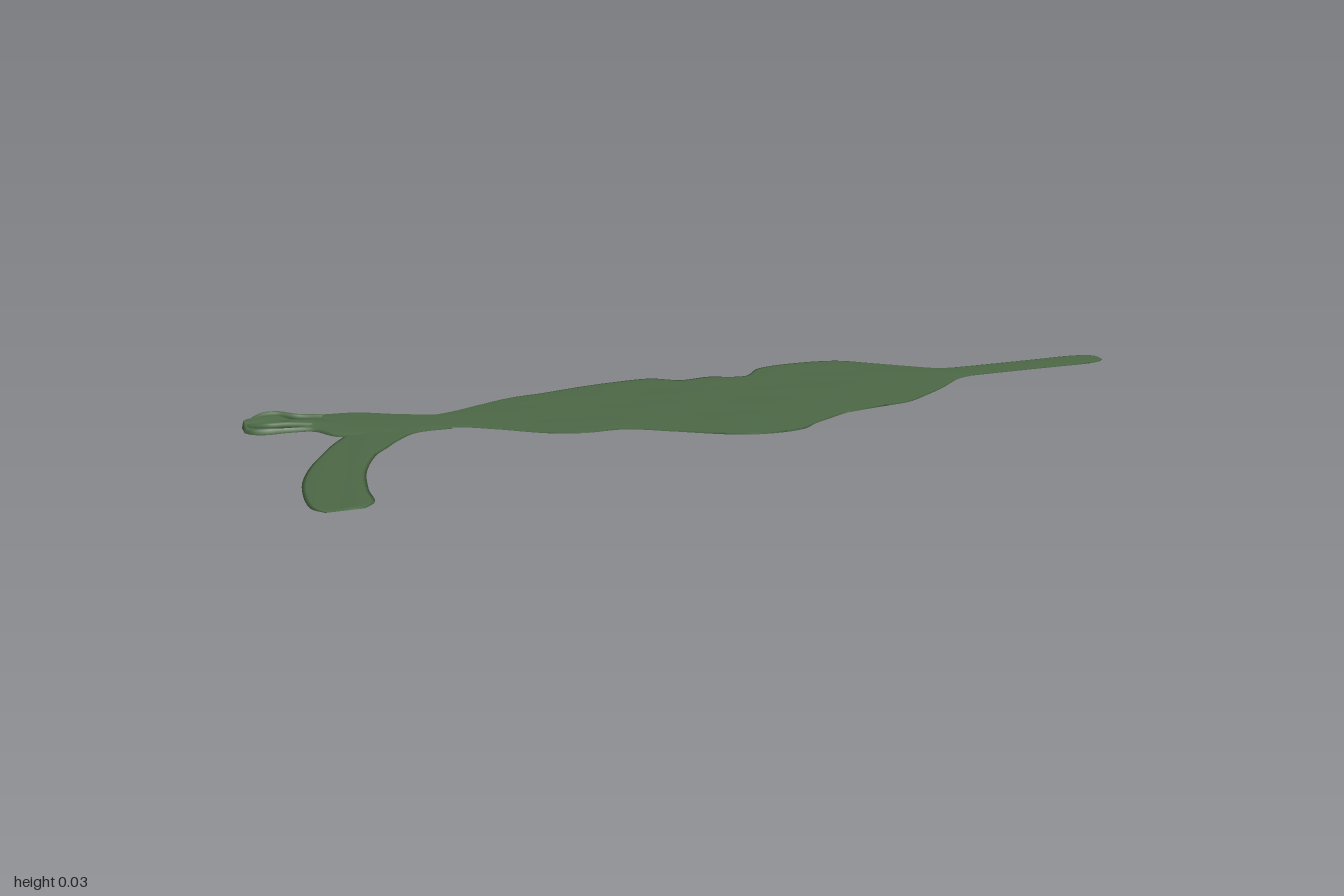
import * as THREE from 'three';

const material = new THREE.MeshStandardMaterial({ color: 0x4c6846, side: THREE.DoubleSide });
const smooth = THREE.MathUtils.smoothstep;

// Thin closed blade. Stations are [xa, za, xb, zb]: matching points on its two edges.
// lift(x, z, bulge) gives the height of the top above the flat edge.
function blade(name, stations, along, across, lift) {
  const edge = (k) => new THREE.CatmullRomCurve3(
    stations.map((s) => new THREE.Vector3(s[k], 0, s[k + 1])));
  const a = edge(0), b = edge(2), p = new THREE.Vector3();
  const pos = [], index = [], ring = across * 2;
  for (let i = 0; i <= along; i++) {
    const t = i / along;
    const pa = a.getPoint(t), pb = b.getPoint(t);
    const taper = Math.sqrt(Math.min(1, t * 25, (1 - t) * 25));
    for (let k = 0; k < ring; k++) {
      const top = k <= across;
      const v = top ? k / across : 2 - k / across;
      p.lerpVectors(pa, pb, v);
      const bulge = taper * Math.pow(4 * v * (1 - v), 0.4);
      const y = 0.004 + (top ? lift(p.x, p.z, bulge) : -0.001 * bulge);
      pos.push(p.x, y, p.z);
    }
  }
  for (let i = 0; i < along; i++) {
    for (let k = 0; k < ring; k++) {
      const k2 = (k + 1) % ring;
      const q = i * ring + k, r = i * ring + k2;
      index.push(q, r, q + ring, r, r + ring, q + ring);
    }
  }
  const geometry = new THREE.BufferGeometry();
  geometry.setAttribute('position', new THREE.Float32BufferAttribute(pos, 3));
  geometry.setIndex(index);
  geometry.computeVertexNormals();
  const mesh = new THREE.Mesh(geometry, material);
  mesh.name = name;
  return mesh;
}

// Rounded crease lying on the crumpled tip
function fold(name, points, radius) {
  const curve = new THREE.CatmullRomCurve3(points.map((p) => new THREE.Vector3(...p)));
  const mesh = new THREE.Mesh(new THREE.TubeGeometry(curve, 28, radius, 8), material);
  mesh.name = name;
  return mesh;
}

export function createModel() {
  const group = new THREE.Group();
  group.name = 'leaf';

  // Broad leaf blade: x, back edge, front edge
  const outline = [
    [-0.63, -0.22, -0.115], [-0.57, -0.23, -0.115], [-0.5, -0.26, -0.075],
    [-0.4, -0.3, -0.005], [-0.33, -0.31, 0.02], [-0.24, -0.33, 0.025],
    [-0.15, -0.342, 0.075], [-0.06, -0.342, 0.13], [0, -0.305, 0.155],
    [0.07, -0.31, 0.162], [0.12, -0.29, 0.152], [0.155, -0.288, 0.125],
    [0.2, -0.335, 0.1], [0.25, -0.35, 0.075], [0.35, -0.35, 0.055],
    [0.41, -0.335, 0.045], [0.47, -0.29, 0.01], [0.54, -0.235, -0.04],
    [0.6, -0.19, -0.09], [0.64, -0.185, -0.105]];
  group.add(blade('leafBlade', outline.map(([x, z0, z1]) => [x, z0, x, z1]), 130, 40,
    (x, z, e) => {
      const veins = Math.sin(26 * z + 9 * x + 2 * Math.sin(5 * x))
        + 0.5 * Math.sin(60 * z - 14 * x);
      // Curved crease around the rounded lobe at the back
      const d = Math.hypot(x - 0.3, z + 0.17) - 0.14;
      const crease = z < -0.12 ? Math.exp(-d * d * 2500) : 0;
      return e * (0.003 + 0.0007 * veins + 0.0012 * crease);
    }));

  // Straight stem
  const stem = [[0.6, -0.186, -0.104], [0.72, -0.184, -0.106], [0.84, -0.184, -0.106],
    [0.95, -0.184, -0.106], [0.985, -0.175, -0.115], [1, -0.16, -0.13]];
  group.add(blade('stem', stem.map(([x, z0, z1]) => [x, z0, x, z1]), 50, 12,
    (x, z, e) => e * 0.002));

  // Curved branch sweeping to the front
  group.add(blade('curvedBranch', [
    [-0.58, -0.11, -0.58, -0.22], [-0.66, -0.105, -0.68, -0.2],
    [-0.71, -0.06, -0.78, -0.16], [-0.74, -0.02, -0.83, -0.1],
    [-0.77, 0.02, -0.87, -0.03], [-0.81, 0.12, -0.92, 0.075],
    [-0.83, 0.235, -0.95, 0.18], [-0.835, 0.315, -0.955, 0.315],
    [-0.86, 0.345, -0.935, 0.345]], 70, 16,
  (x, z, e) => e * (0.003 + 0.001 * Math.sin(70 * (x + 0.25 * z)))));

  // Short branch rising into a crumpled tip
  group.add(blade('crumpledTip', [
    [-0.58, -0.11, -0.58, -0.22], [-0.67, -0.12, -0.67, -0.26],
    [-0.74, -0.12, -0.75, -0.3], [-0.82, -0.135, -0.82, -0.305],
    [-0.86, -0.19, -0.88, -0.295], [-0.91, -0.2, -0.925, -0.315],
    [-0.957, -0.2, -0.955, -0.322], [-0.985, -0.212, -0.985, -0.295],
    [-0.998, -0.23, -0.998, -0.27]], 80, 24,
  (x, z, e) => {
    const rise = smooth(-x, 0.78, 0.92);
    const ridges = 0.5 + 0.5 * Math.cos((z + 0.285) * 88 + 1.2 * Math.sin(30 * (x + 0.93)));
    return e * (0.004 + 0.004 * smooth(-x, 0.64, 0.82) + rise * (0.004 + 0.008 * ridges));
  }));
  group.add(fold('backFold', [[-0.83, 0.01, -0.27], [-0.88, 0.017, -0.265],
    [-0.92, 0.021, -0.287], [-0.955, 0.021, -0.285], [-0.985, 0.014, -0.26]], 0.008));
  group.add(fold('frontFold', [[-0.86, 0.01, -0.215], [-0.91, 0.017, -0.213],
    [-0.95, 0.018, -0.215], [-0.98, 0.014, -0.235], [-0.99, 0.009, -0.255]], 0.008));
  return group;
}
